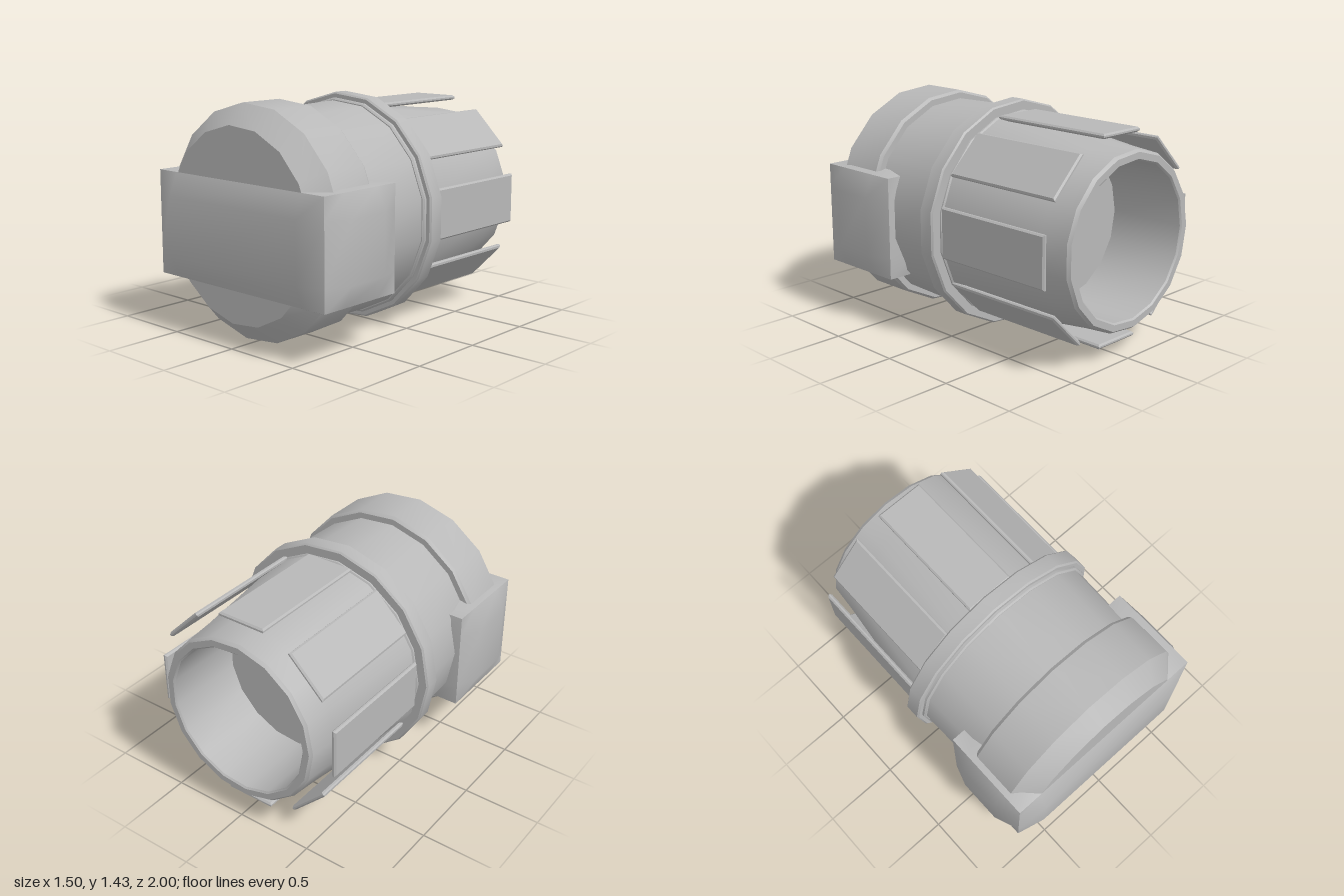
import * as THREE from 'three';
import { toCreasedNormals } from 'three/addons/utils/BufferGeometryUtils.js';

const AXIS_Y = 0.72;
const SIDES = 17;

export function createModel() {
  const model = new THREE.Group();
  const grey = new THREE.MeshStandardMaterial({ color: 0xb8b8b8 });
  grey.name = 'plain grey';

  const add = (name, geometry) => {
    const mesh = new THREE.Mesh(geometry, grey);
    mesh.name = name;
    mesh.position.y = AXIS_Y;
    model.add(mesh);
    return mesh;
  };

  // Turned part along z; profile points are [radius, z], from back to front
  const turned = (name, profile) => {
    const points = profile.map(([r, z]) => new THREE.Vector2(r, z));
    const lathe = new THREE.LatheGeometry(points, SIDES, -Math.PI / 2);
    lathe.rotateX(Math.PI / 2);
    return add(name, toCreasedNormals(lathe, 0.5));
  };

  // Hollow rear sleeve with a closed floor inside
  turned('rearSleeve', [
    [0, -0.48], [0.48, -0.48], [0.48, -0.99], [0.49, -1], [0.53, -1],
    [0.545, -0.98], [0.56, -0.8], [0.645, -0.09], [0.645, -0.04],
  ]);

  // Stepped flange ring
  turned('flange', [
    [0.5, -0.09], [0.64, -0.09], [0.655, -0.08], [0.655, -0.07], [0.71, -0.07],
    [0.72, -0.06], [0.72, 0.03], [0.71, 0.04], [0.685, 0.04],
    [0.685, 0.055], [0.675, 0.065], [0.6, 0.065],
  ]);

  // Middle barrel
  turned('barrel', [[0.67, 0.03], [0.655, 0.54]]);

  // Front cap with a wide bevel
  turned('frontCap', [
    [0.6, 0.505], [0.695, 0.505], [0.71, 0.525], [0.71, 0.82], [0.59, 0.94], [0, 0.94],
  ]);

  // Cross bar: a box whose faces swell outward while its edges stay straight
  const bar = new THREE.BoxGeometry(2, 2, 2, 3, 3, 3);
  const pos = bar.attributes.position;
  const half = [0.69, 0.325, 0.295];
  const centre = [0, 0.66 - AXIS_Y, 0.645];
  const inner = [0.77, 0.57, 0.47];
  const swell = [[0.06, 0.06], [0.065, 0.03], [0.03, 0.06]]; // [negative, positive] side
  for (let i = 0; i < pos.count; i++) {
    const p = [pos.getX(i), pos.getY(i), pos.getZ(i)];
    const outer = p.map((c) => Math.abs(c) > 0.99);
    const onFace = outer.filter(Boolean).length === 1;
    const q = p.map((c, a) => {
      const s = Math.sign(c);
      const grow = onFace && outer[a] ? swell[a][s > 0 ? 1 : 0] : 0;
      return centre[a] + s * (half[a] * (outer[a] ? 1 : inner[a]) + grow);
    });
    pos.setXYZ(i, ...q);
  }
  bar.computeVertexNormals();
  add('crossBar', bar);

  // Eight grip plates around the sleeve, parallel to the axis
  const w = 0.15, back = -0.9, front = -0.09, bevel = 0.01;
  const outline = new THREE.Shape([
    new THREE.Vector2(-w, -front), new THREE.Vector2(w, -front),
    new THREE.Vector2(w, -back), new THREE.Vector2(-w, -back),
  ]);
  const plate = new THREE.ExtrudeGeometry(outline, {
    depth: 0.01, bevelEnabled: true, bevelThickness: bevel, bevelSize: bevel, bevelSegments: 1,
  });
  plate.rotateX(-Math.PI / 2);
  plate.translate(0, 0.625, 0);
  for (let i = 0; i < 8; i++) {
    add('gripPlate' + (i + 1), plate).rotation.z = (i * Math.PI) / 4;
  }

  return model;
}
